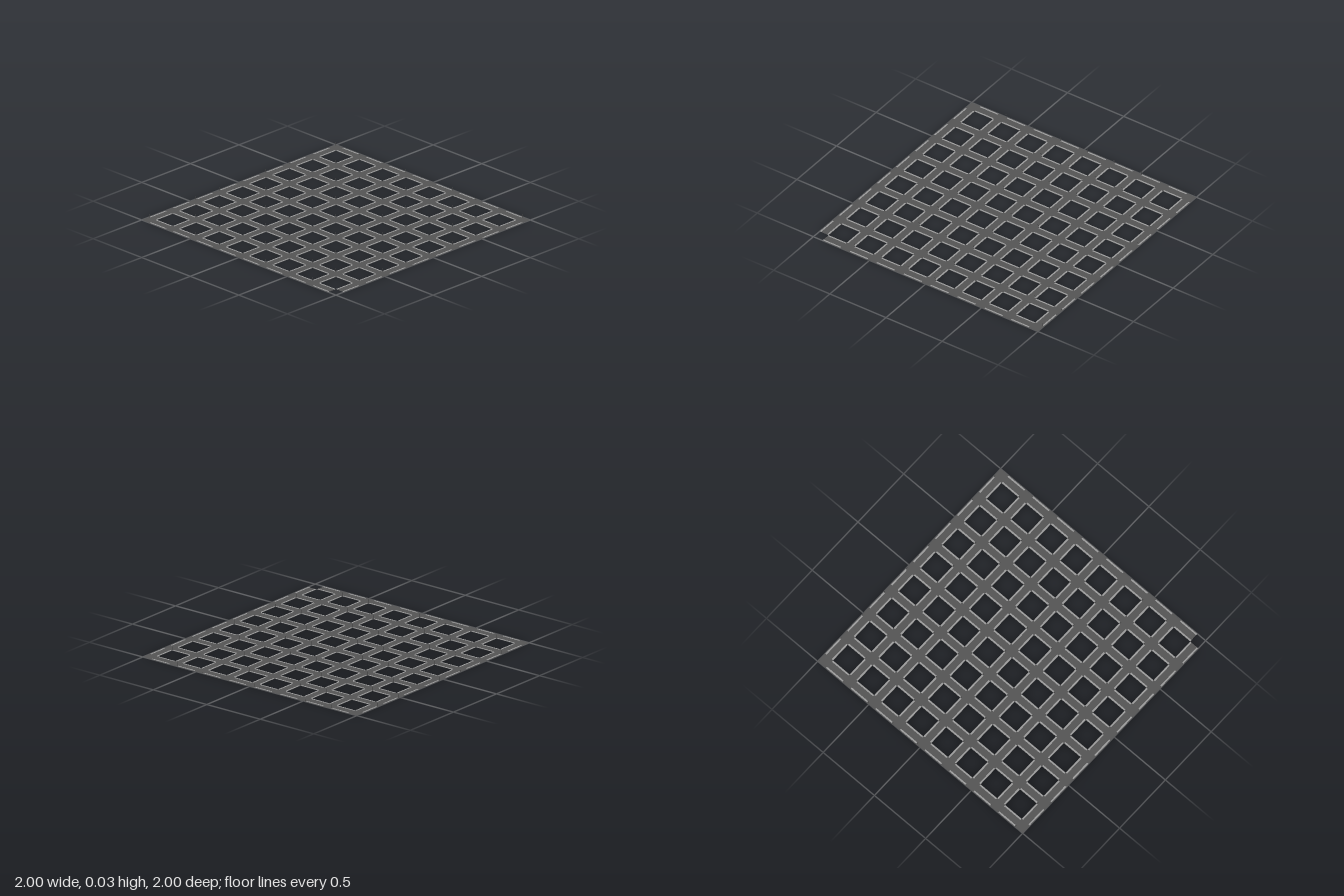
import * as THREE from 'three';
import { mergeGeometries } from 'three/addons/utils/BufferGeometryUtils.js';

const N = 9, PITCH = 0.24, ROAD = 0.08, BLOCK = PITCH - ROAD;
const HEIGHT = 0.027;
const at = (i) => (i - (N - 1) / 2) * PITCH;

// Horizontal rectangle facing up
function flat(w, d, x, y, z) {
  return new THREE.PlaneGeometry(w, d).rotateX(-Math.PI / 2).translate(x, y, z);
}

export function createModel() {
  const group = new THREE.Group();
  const asphalt = new THREE.MeshStandardMaterial({ color: 0x555555, side: THREE.DoubleSide });
  asphalt.name = 'asphalt';
  const paving = new THREE.MeshStandardMaterial({ color: 0x9c9c9c, side: THREE.DoubleSide });
  paving.name = 'paving';
  const metal = new THREE.MeshStandardMaterial({ color: 0x444444 });
  metal.name = 'lamp metal';

  const crossings = [], streets = [], pavements = [], lamps = [];
  const walk = 0.012, edge = 0.032;

  for (let i = 0; i < N; i++) {
    for (let j = 0; j < N; j++) {
      const x = at(i), z = at(j);

      // Crossing with a street lamp on its back right corner; one corner is left open
      if (i < N - 1 || j < N - 1) {
        crossings.push(flat(ROAD, ROAD, x, 0, z));
        const lx = x - 0.035, lz = z - 0.032;
        lamps.push(new THREE.CylinderGeometry(0.0008, 0.0012, HEIGHT, 5).translate(lx, HEIGHT / 2, lz));
        lamps.push(new THREE.BoxGeometry(0.008, 0.001, 0.0015)
          .rotateY(-Math.PI / 4).translate(lx + 0.0028, HEIGHT - 0.0005, lz + 0.0028));
      }

      // Street along x with a pavement on each side
      if (i < N - 1) {
        const mx = x + PITCH / 2;
        streets.push(flat(BLOCK, ROAD, mx, 0, z));
        for (const s of [-1, 1]) pavements.push(flat(BLOCK, walk, mx, 0.0015, z + s * edge));
      }

      // Street along z with a pavement on each side
      if (j < N - 1) {
        const mz = z + PITCH / 2;
        streets.push(flat(ROAD, BLOCK, x, 0, mz));
        for (const s of [-1, 1]) pavements.push(flat(walk, BLOCK, x + s * edge, 0.0015, mz));
      }
    }
  }

  const add = (name, parts, material) => {
    const mesh = new THREE.Mesh(mergeGeometries(parts), material);
    mesh.name = name;
    group.add(mesh);
  };
  add('crossings', crossings, asphalt);
  add('streets', streets, asphalt);
  add('pavements', pavements, paving);
  add('streetLamps', lamps, metal);
  return group;
}
